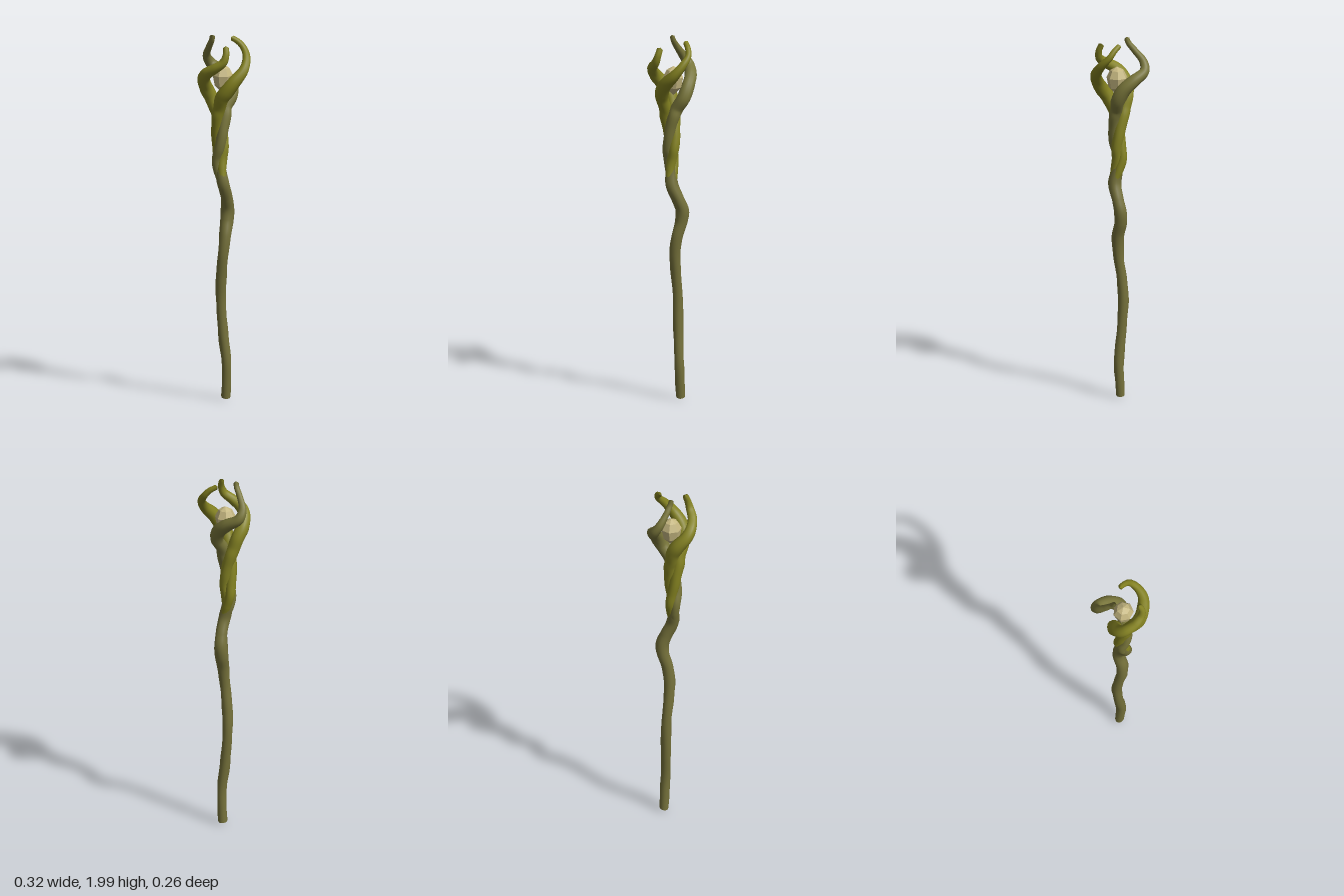
import * as THREE from 'three';

const V = (p) => new THREE.Vector3(...p);

// Piecewise-linear lookup in [[key, value], ...]
function lookup(table, k) {
  if (k <= table[0][0]) return table[0][1];
  for (let i = 1; i < table.length; i++) {
    const [k0, v0] = table[i - 1], [k1, v1] = table[i];
    if (k <= k1) return v0 + (v1 - v0) * (k - k0) / (k1 - k0);
  }
  return table[table.length - 1][1];
}

// Gnarled wooden limb: a tube whose radius follows height, with rounded ends
function limb(name, points, radii, color, segments, seed) {
  const curve = new THREE.CatmullRomCurve3(points.map(V));
  const sides = 14;
  const geo = new THREE.TubeGeometry(curve, segments, 1, sides, false);
  const pos = geo.attributes.position, nor = geo.attributes.normal;
  const length = curve.getLength();
  for (let i = 0; i <= segments; i++) {
    const u = i / segments;
    const c = curve.getPointAt(u);
    const base = lookup(radii, c.y);
    const e = Math.min(1, Math.min(u, 1 - u) * length / (base * 0.7));
    const round = Math.sqrt(1 - (1 - e) * (1 - e));
    for (let j = 0; j <= sides; j++) {
      const k = i * (sides + 1) + j;
      const a = j / sides * Math.PI * 2;
      const bark = 1 + 0.05 * Math.sin(2 * a + c.y * 19 + seed) + 0.03 * Math.sin(3 * a - c.y * 43 + seed);
      const r = base * round * bark;
      pos.setXYZ(k, c.x + nor.getX(k) * r, c.y + nor.getY(k) * r, c.z + nor.getZ(k) * r);
    }
  }
  const mesh = new THREE.Mesh(geo, new THREE.MeshStandardMaterial({ color }));
  mesh.name = name;
  return mesh;
}

export function createModel() {
  const group = new THREE.Group();
  group.name = 'staff';

  // Crooked shaft
  group.add(limb('shaft', [
    [0, 0.005, -0.05], [0.006, 0.1, -0.048], [0.009, 0.2, -0.045], [-0.007, 0.36, -0.037],
    [-0.019, 0.55, -0.032], [-0.012, 0.66, -0.025], [0.006, 0.8, -0.021], [0.01, 0.9, -0.033],
    [0.002, 0.98, -0.055], [0.004, 1.04, -0.06], [0.014, 1.1, -0.042], [0.021, 1.18, -0.008],
    [0.008, 1.25, 0], [-0.003, 1.31, 0],
  ], [[0, 0.024], [0.2, 0.026], [0.75, 0.028], [0.95, 0.033], [1.03, 0.036], [1.1, 0.032], [1.2, 0.034], [1.31, 0.024]],
  0x74703a, 150, 0));

  // Three strands twist round each other, then open into claws
  const axis = [[1.15, [0.018, -0.02]], [1.2, [0.018, -0.004]], [1.26, [0.004, 0]], [1.32, [-0.004, 0]],
    [1.38, [0.004, 0]], [1.44, [0.005, 0]], [1.5, [0.004, 0]], [1.56, [0.002, 0]], [1.6, [0, 0]]];
  const spread = [[1.15, 0.006], [1.25, 0.014], [1.35, 0.02], [1.5, 0.022], [1.6, 0.036]];
  const radii = [[1.15, 0.018], [1.3, 0.025], [1.5, 0.029], [1.6, 0.033], [1.7, 0.038],
    [1.77, 0.034], [1.83, 0.026], [1.9, 0.018], [1.99, 0.013]];
  const claws = [
    { name: 'backClaw', angle: -60, color: 0x78753a, tip: [
      [0.022, 1.66, -0.07], [-0.005, 1.72, -0.088], [-0.06, 1.77, -0.092], [-0.125, 1.815, -0.07],
      [-0.127, 1.86, -0.04], [-0.085, 1.92, -0.012], [-0.055, 1.96, 0], [-0.046, 1.99, 0.006]] },
    { name: 'leftClaw', angle: 55, color: 0x828020, tip: [
      [0.05, 1.66, 0.04], [0.08, 1.7, 0.036], [0.11, 1.75, 0.014], [0.132, 1.81, -0.04],
      [0.115, 1.865, -0.085], [0.08, 1.91, -0.108], [0.05, 1.945, -0.1], [0.012, 1.972, -0.078]] },
    { name: 'frontClaw', angle: 180, color: 0x868424, tip: [
      [-0.052, 1.66, 0.015], [-0.058, 1.71, 0.045], [-0.04, 1.76, 0.085], [-0.01, 1.795, 0.1],
      [0.045, 1.83, 0.094], [0.085, 1.865, 0.07], [0.093, 1.905, 0.056], [0.08, 1.95, 0.043]] },
  ];
  claws.forEach(({ name, angle, color, tip }, i) => {
    const twist = axis.map(([y, [x, z]]) => {
      const t = THREE.MathUtils.degToRad(angle + (1.6 - y) * 580);
      const r = lookup(spread, y);
      return [x + r * Math.cos(t), y, z + r * Math.sin(t)];
    });
    group.add(limb(name, [...twist, ...tip], radii, color, 110, i * 2.1));
  });

  // Faceted crystal held by the claws
  const profile = [[0, -0.09], [0.045, -0.045], [0.056, 0.01], [0.036, 0.05], [0, 0.07]];
  const crystalGeo = new THREE.LatheGeometry(profile.map(([x, y]) => new THREE.Vector2(x, y)), 7);
  const crystal = new THREE.Mesh(crystalGeo, new THREE.MeshStandardMaterial({ color: 0xc4b680, flatShading: true }));
  crystal.name = 'crystal';
  crystal.position.set(0.011, 1.765, -0.013);
  crystal.rotation.y = 0.3;
  group.add(crystal);

  return group;
}
